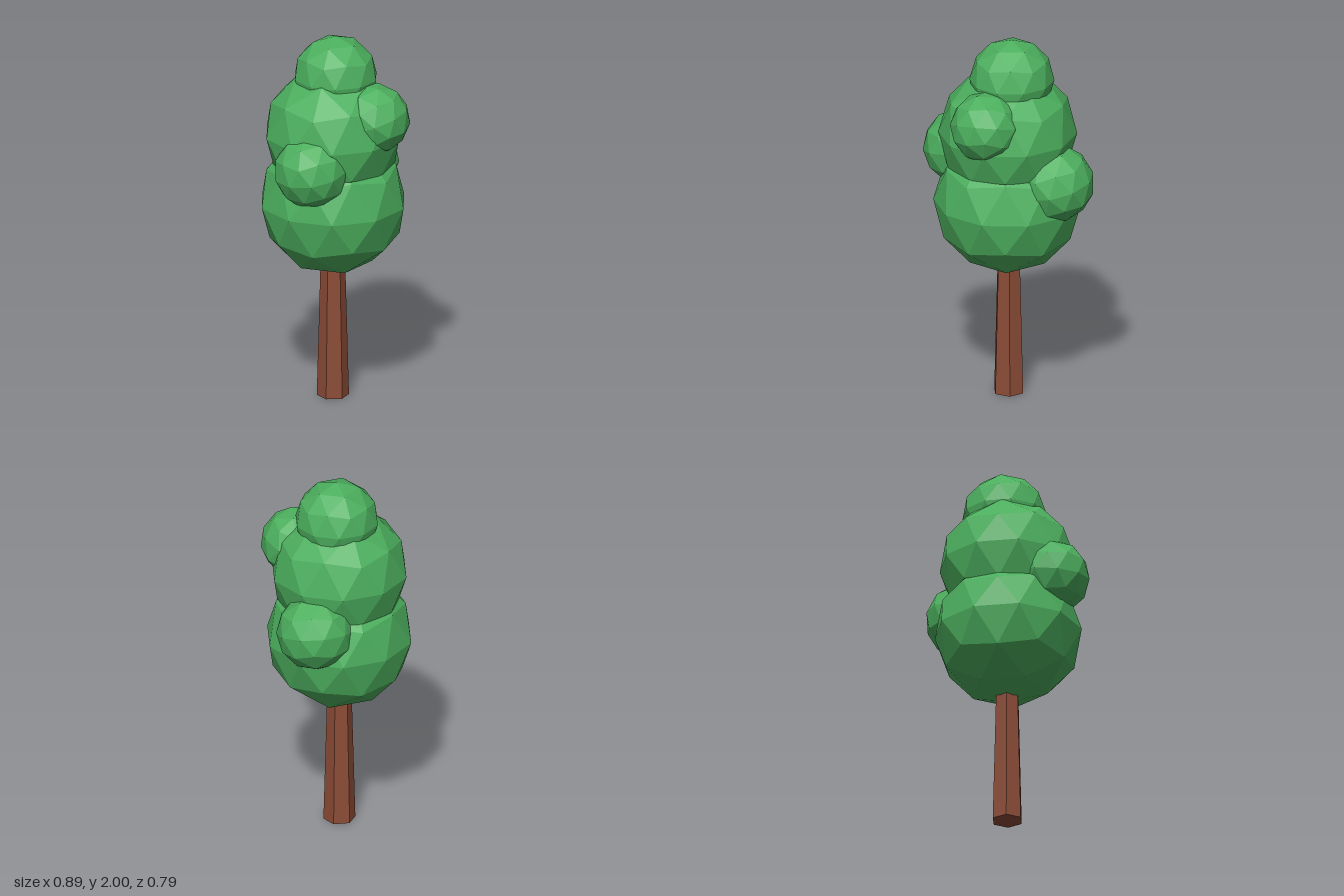
import * as THREE from 'three';

// Non-indexed geometry with one normal per face
function faceted(geometry) {
  const g = geometry.index ? geometry.toNonIndexed() : geometry;
  g.computeVertexNormals();
  return g;
}

export function createModel() {
  const tree = new THREE.Group();
  tree.name = 'tree';

  const leafGreen = new THREE.MeshStandardMaterial({ color: 0x4caf5e });
  leafGreen.name = 'leaf green';
  const barkBrown = new THREE.MeshStandardMaterial({ color: 0x8c4c37 });
  barkBrown.name = 'bark brown';

  // Six-sided tapering trunk, running up into the foliage
  const trunk = new THREE.Mesh(faceted(new THREE.CylinderGeometry(0.061, 0.085, 0.9, 6)), barkBrown);
  trunk.name = 'trunk';
  trunk.position.set(-0.017, 0.45, -0.015);
  tree.add(trunk);

  // Faceted ball turned so that corners sit at its top and bottom
  const ball = new THREE.IcosahedronGeometry(1, 1);
  ball.rotateZ(-Math.atan(2 / (1 + Math.sqrt(5))));
  const ballGeometry = faceted(ball);

  // Foliage: name, centre, radius, tilt
  const clumps = [
    ['lowerFoliage', [-0.02, 1.085, -0.01], 0.392, [0, 0, 0]],
    ['middleFoliage', [-0.02, 1.47, -0.01], 0.366, [0, 0, 0]],
    ['topFoliage', [0.005, 1.776, -0.02], 0.224, [0, 0, 0]],
    ['frontClump', [0.095, 1.585, 0.205], 0.19, [-0.25, 0, 0.24]],
    ['rightClump', [-0.257, 1.343, 0.13], 0.2, [0, 0, 0.19]],
    ['leftClump', [0.243, 1.24, -0.135], 0.208, [0.2, 0.2, 0.1]],
  ];
  for (const [name, centre, radius, tilt] of clumps) {
    const clump = new THREE.Mesh(ballGeometry, leafGreen);
    clump.name = name;
    clump.position.set(...centre);
    clump.scale.setScalar(radius);
    clump.rotation.set(...tilt);
    tree.add(clump);
  }

  return tree;
}
